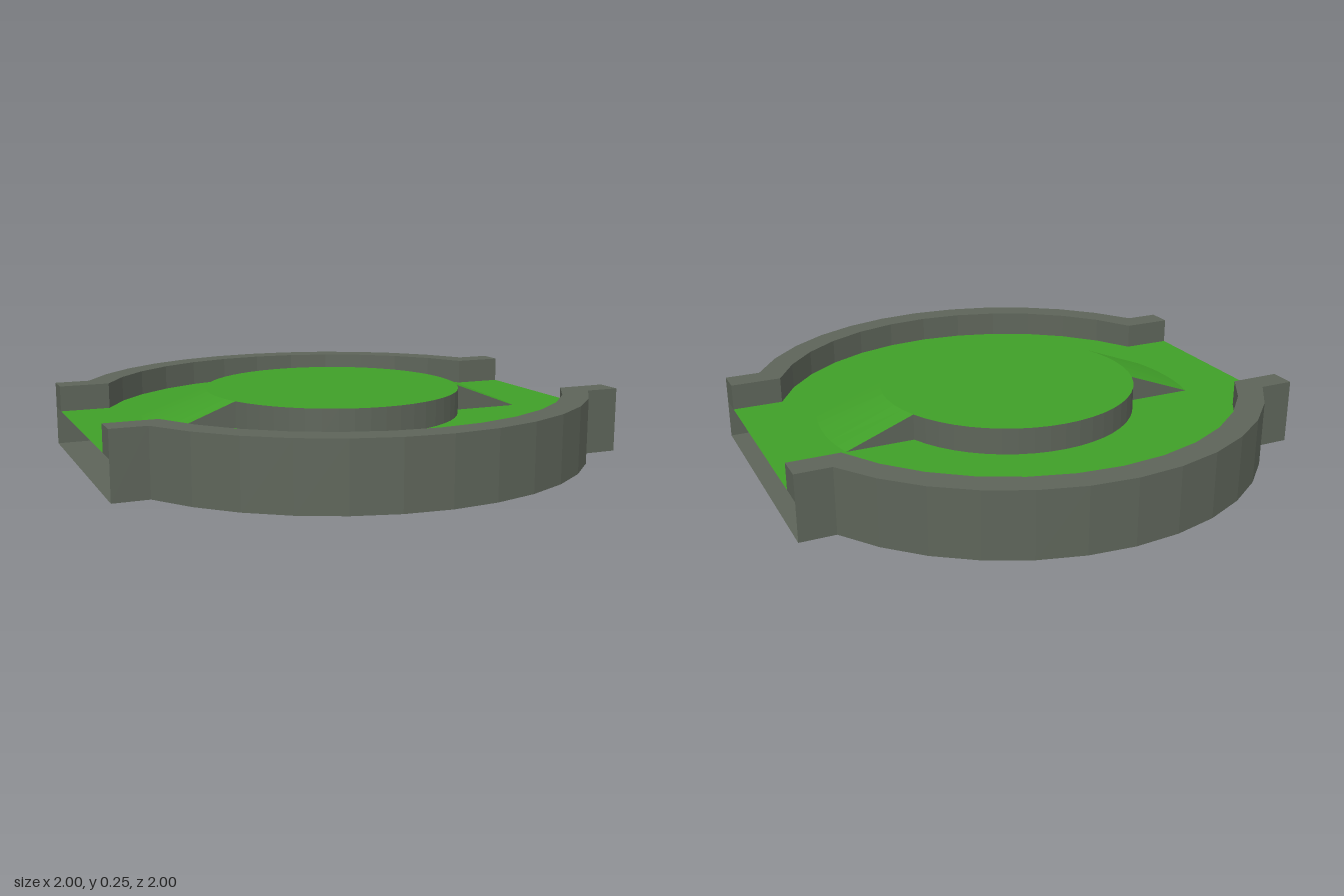
import * as THREE from 'three';

const GREY = new THREE.MeshStandardMaterial({ color: 0x5d6459, side: THREE.DoubleSide, flatShading: true });
const GREEN = new THREE.MeshStandardMaterial({ color: 0x409f28, side: THREE.DoubleSide, flatShading: true });

const FLOOR = 0.15, TOP = 0.25;          // floor level and rim level
const RIM_OUT = 0.5, RIM_IN = 0.4;       // half widths of the open ends
const DISC = 0.5, RAMP_END = 0.75, RAMP_W = 0.185;

// Plan points [x, z] along an arc
function arc(r, a0, a1, n) {
  return Array.from({ length: n + 1 }, (_, i) => {
    const a = a0 + (a1 - a0) * i / n;
    return [r * Math.cos(a), r * Math.sin(a)];
  });
}
const opposite = (pts) => pts.map(([x, z]) => [-x, -z]);

// Level sheet with an optional hole; the plan is symmetric in z
function sheet(pts, y, hole) {
  const toVec = (p) => p.map(([x, z]) => new THREE.Vector2(x, -z));
  const shape = new THREE.Shape(toVec(pts));
  if (hole) shape.holes.push(new THREE.Path(toVec(hole)));
  return new THREE.ShapeGeometry(shape).rotateX(-Math.PI / 2).translate(0, y, 0);
}

function triangles(positions) {
  const g = new THREE.BufferGeometry();
  g.setAttribute('position', new THREE.Float32BufferAttribute(positions, 3));
  g.computeVertexNormals();
  return g;
}

// Strip of quads between a lower and an upper edge
function strip(low, yLow, high, yHigh) {
  const pos = [];
  for (let i = 0; i < low.length - 1; i++) {
    const a = [low[i][0], yLow, low[i][1]], b = [low[i + 1][0], yLow, low[i + 1][1]];
    const c = [high[i][0], yHigh, high[i][1]], d = [high[i + 1][0], yHigh, high[i + 1][1]];
    pos.push(...a, ...c, ...b, ...b, ...c, ...d);
  }
  return triangles(pos);
}
const wall = (pts, y0, y1) => strip(pts, y0, pts, y1);

export function createModel() {
  const model = new THREE.Group();
  model.name = 'roundArena';
  const add = (parent, name, geometry, material) => {
    const mesh = new THREE.Mesh(geometry, material);
    mesh.name = name;
    parent.add(mesh);
  };

  // Plan outlines of one half
  const aOut = Math.asin(RIM_OUT), aIn = Math.asin(RIM_IN / 0.9);
  const outer = [[1, RIM_OUT], ...arc(1, aOut, Math.PI - aOut, 12), [-1, RIM_OUT]];
  const inner = [[1, RIM_IN], ...arc(0.9, aIn, Math.PI - aIn, 12), [-1, RIM_IN]];
  const aDisc = Math.asin(RAMP_W / DISC), aRamp = Math.asin(RAMP_W / RAMP_END);
  const discSide = arc(DISC, aDisc, Math.PI - aDisc, 20);
  const rampTop = arc(DISC, -aDisc, aDisc, 6);
  const rampFoot = arc(RAMP_END, -aRamp, aRamp, 6);

  // Full sheets: underside, floor around the platform, platform top
  const underside = sheet([...outer, ...opposite(outer)], 0);
  add(model, 'underside', underside, GREY);
  const platformHole = [...rampFoot, ...discSide, ...opposite(rampFoot), ...opposite(discSide)];
  add(model, 'floor', sheet([...inner, ...opposite(inner)], FLOOR, platformHole), GREEN);
  const platform = [...rampTop, ...discSide.slice(1, -1)];
  add(model, 'platformTop', sheet([...platform, ...opposite(platform)], TOP), GREEN);

  // Two identical halves, half a turn apart
  for (const turn of [0, Math.PI]) {
    const half = new THREE.Group();
    half.name = turn ? 'backHalf' : 'frontHalf';
    half.rotation.y = turn;
    model.add(half);

    // Rim
    add(half, 'rimOuterWall', wall(outer, 0, TOP), GREY);
    add(half, 'rimInnerWall', wall([...inner].reverse(), FLOOR, TOP), GREY);
    add(half, 'rimTop', sheet([...outer, ...[...inner].reverse()], TOP), GREY);
    add(half, 'rimEndLeft', wall([[1, RIM_IN], [1, RIM_OUT]], FLOOR, TOP), GREY);
    add(half, 'rimEndRight', wall([[-1, RIM_OUT], [-1, RIM_IN]], FLOOR, TOP), GREY);

    // Platform side and ramp
    add(half, 'platformSide', wall(discSide, FLOOR, TOP), GREY);
    add(half, 'ramp', strip(rampFoot, FLOOR, rampTop, TOP), GREEN);
    const x0 = DISC * Math.cos(aDisc), x1 = RAMP_END * Math.cos(aRamp), w = RAMP_W;
    add(half, 'rampCheeks', triangles([
      x0, FLOOR, w, x1, FLOOR, w, x0, TOP, w,
      x1, FLOOR, -w, x0, FLOOR, -w, x0, TOP, -w,
    ]), GREY);
  }
  return model;
}
